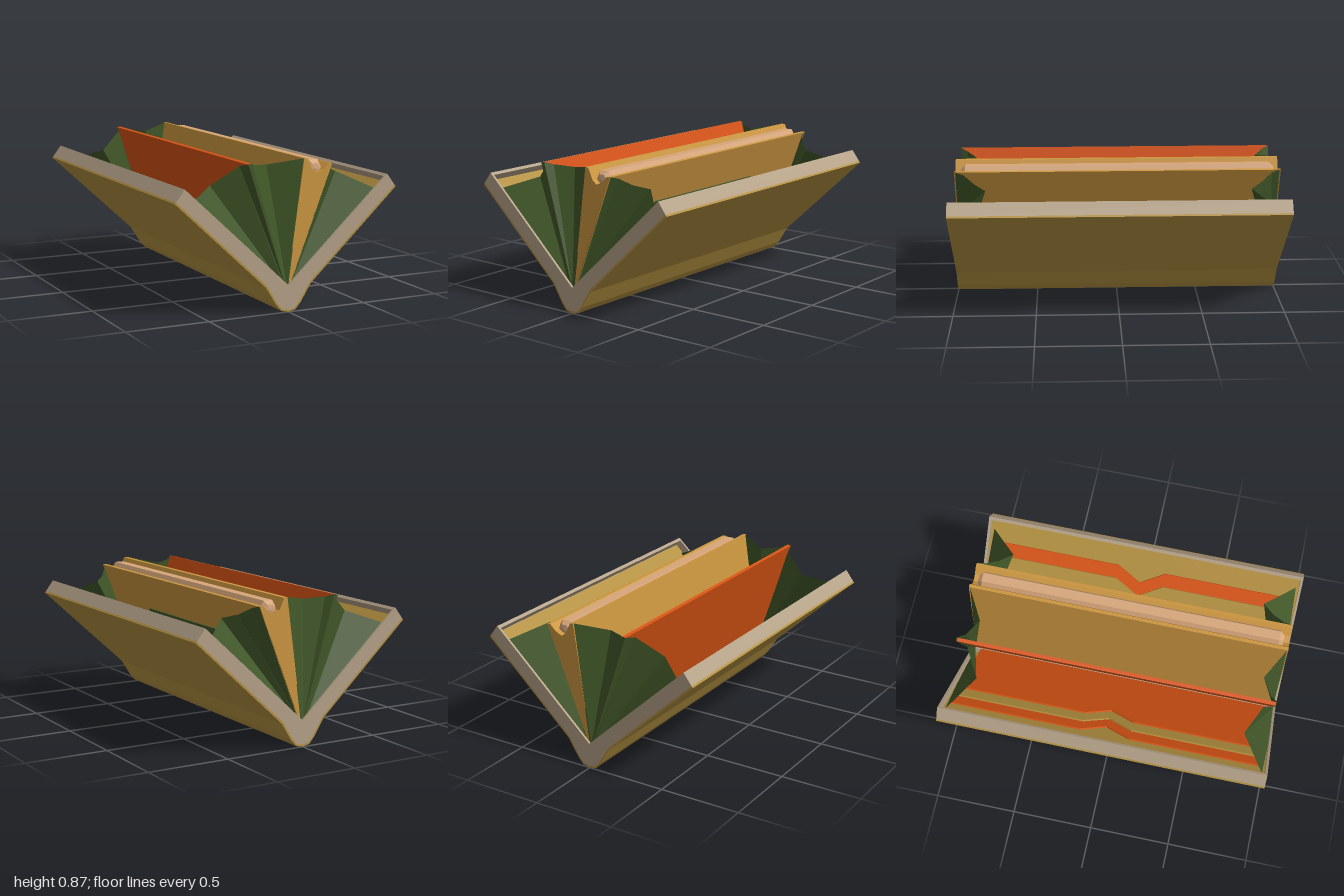
import * as THREE from 'three';

const GREEN = 0x415728, GOLD = 0xcc9640, BROWN = 0xb39040, ORANGE = 0xd85414, TAUPE = 0xb5a288, TAN = 0xd6a67a;

function mat(color, side = THREE.FrontSide) {
  return new THREE.MeshStandardMaterial({ color, side, flatShading: true });
}

function add(parent, name, geo, color, side) {
  const mesh = new THREE.Mesh(geo, mat(color, side));
  mesh.name = name;
  parent.add(mesh);
  return mesh;
}

// Extrudes an x/y outline between two z values
function prism(pts, z0, z1) {
  const shape = new THREE.Shape(pts.map(p => new THREE.Vector2(p[0], p[1])));
  const geo = new THREE.ExtrudeGeometry(shape, { depth: z1 - z0, bevelEnabled: false });
  return geo.translate(0, 0, z0);
}

// Completes a right-hand half line (ending on x = 0) with its mirror image
function mirrored(half) {
  return [...half, ...half.filter(p => p[0] > 0).reverse().map(p => [-p[0], p[1]])];
}

// Fan of folds from a top path down to the spine; end = 1 front, -1 back
function gusset(path, end) {
  const foot = p => [p[0] * 0.05, 0.145, 0.985];
  const pos = [];
  for (let i = 0; i < path.length - 1; i++) {
    const a = path[i], b = path[i + 1], c = foot(a), d = foot(b);
    for (const p of [a, c, b, b, c, d]) pos.push(p[0], p[1], p[2] * end);
  }
  const geo = new THREE.BufferGeometry();
  geo.setAttribute('position', new THREE.Float32BufferAttribute(pos, 3));
  geo.computeVertexNormals();
  return geo;
}

export function createModel() {
  const model = new THREE.Group();
  model.name = 'foldingCase';

  // Cover: outer skin, recessed body and end rims
  const outer = [[0.705, 0.675], [0.145, 0.155], [0.08, 0.05], [0.045, 0.01], [0, 0]];
  const inner = [[0.697, 0.684], [0.138, 0.164], [0.072, 0.057], [0.04, 0.02], [0, 0.012]];
  const tip = [0.645, 0.752];
  const under = mirrored(inner);
  add(model, 'coverSkin', prism([...mirrored(outer), ...mirrored(inner).reverse()], -1, 1), BROWN);
  const bed = [[0, 0.067], [0.671, 0.696], [0.63, 0.738], tip];
  const bedLine = [...bed.slice(1).reverse().map(p => [-p[0], p[1]]), ...bed];
  add(model, 'coverBody', prism([...under, ...bedLine], -0.985, 0.985), TAUPE);
  for (const [z0, z1] of [[-1, -0.985], [0.985, 1]]) {
    add(model, 'endRim', prism([...under, [-tip[0], tip[1]], [0, 0.155], tip], z0, z1), TAUPE);
  }

  // Lining and stepped pockets with thumb notches on both cover halves
  for (const s of [1, -1]) {
    const half = new THREE.Group();
    half.name = s > 0 ? 'leftPockets' : 'rightPockets';
    const basis = new THREE.Matrix4().makeBasis(
      new THREE.Vector3(s * 0.73, 0.684, 0),
      new THREE.Vector3(0, 0, -s),
      new THREE.Vector3(-s * 0.684, 0.73, 0));
    half.quaternion.setFromRotationMatrix(basis);
    half.position.y = 0.067;
    model.add(half);
    const sheet = (name, u, notch, h, w, color) => {
      const pts = [[0.06, -w], [u, -w], [u, -0.15], [u - notch, 0], [u, 0.15], [u, w], [0.06, w]];
      add(half, name, prism(notch ? pts : pts.filter(p => p[1] !== 0), h, h + 0.01), color);
    };
    sheet('lining', 0.915, 0, 0, 0.985, BROWN);
    [0.55, 0.48, 0.41].forEach((x, i) => {
      const h = 0.01 * (i + 1);
      sheet('pocket', (x + 0.684 * (h + 0.01)) / 0.73, 0.09, h, 0.95, i % 2 ? BROWN : ORANGE);
    });
  }

  // Thin divider
  add(model, 'divider', prism([[-0.012, 0.14], [0.002, 0.14], [-0.225, 0.862], [-0.247, 0.858]], -0.968, 0.968), ORANGE);

  // Central holder with a trough along its top
  add(model, 'holder', prism([
    [0.002, 0.16], [0.03, 0.18], [0.285, 0.835], [0.265, 0.838], [0.225, 0.8],
    [0.185, 0.783], [0.155, 0.805], [0.125, 0.872], [0.103, 0.874]], -0.982, 0.982), GOLD);

  // Flat panel on the holder's outer side
  add(model, 'holderPanel', prism([
    [0.07, 0.28], [0.076, 0.278], [0.202, 0.602], [0.196, 0.604]], -0.48, 0.48), GREEN);

  // Six-sided rod lying in the trough, with tapered ends
  const rod = new THREE.LatheGeometry(
    [[0, -0.95], [0.035, -0.945], [0.058, -0.92], [0.058, 0.92], [0.035, 0.945], [0, 0.95]]
      .map(p => new THREE.Vector2(p[0], p[1])), 6);
  rod.rotateY(Math.PI / 6).rotateX(Math.PI / 2).translate(0.193, 0.805, 0);
  add(model, 'rod', rod, TAN);

  // Folded gussets closing both ends; the left one wraps round the divider
  const paths = [
    [[-0.63, 0.645, 0.984], [-0.41, 0.73, 0.82], [-0.265, 0.843, 0.9], [-0.248, 0.86, 0.975],
      [-0.224, 0.863, 0.975], [-0.19, 0.847, 0.93], [-0.08, 0.835, 0.87], [0.105, 0.873, 0.975]],
    [[0.283, 0.838, 0.982], [0.3, 0.822, 0.925], [0.35, 0.78, 0.86], [0.42, 0.755, 0.79], [0.63, 0.645, 0.984]],
  ];
  for (const end of [1, -1]) {
    for (const path of paths) {
      add(model, end > 0 ? 'frontGusset' : 'backGusset', gusset(path, end), GREEN, THREE.DoubleSide);
    }
  }
  return model;
}
